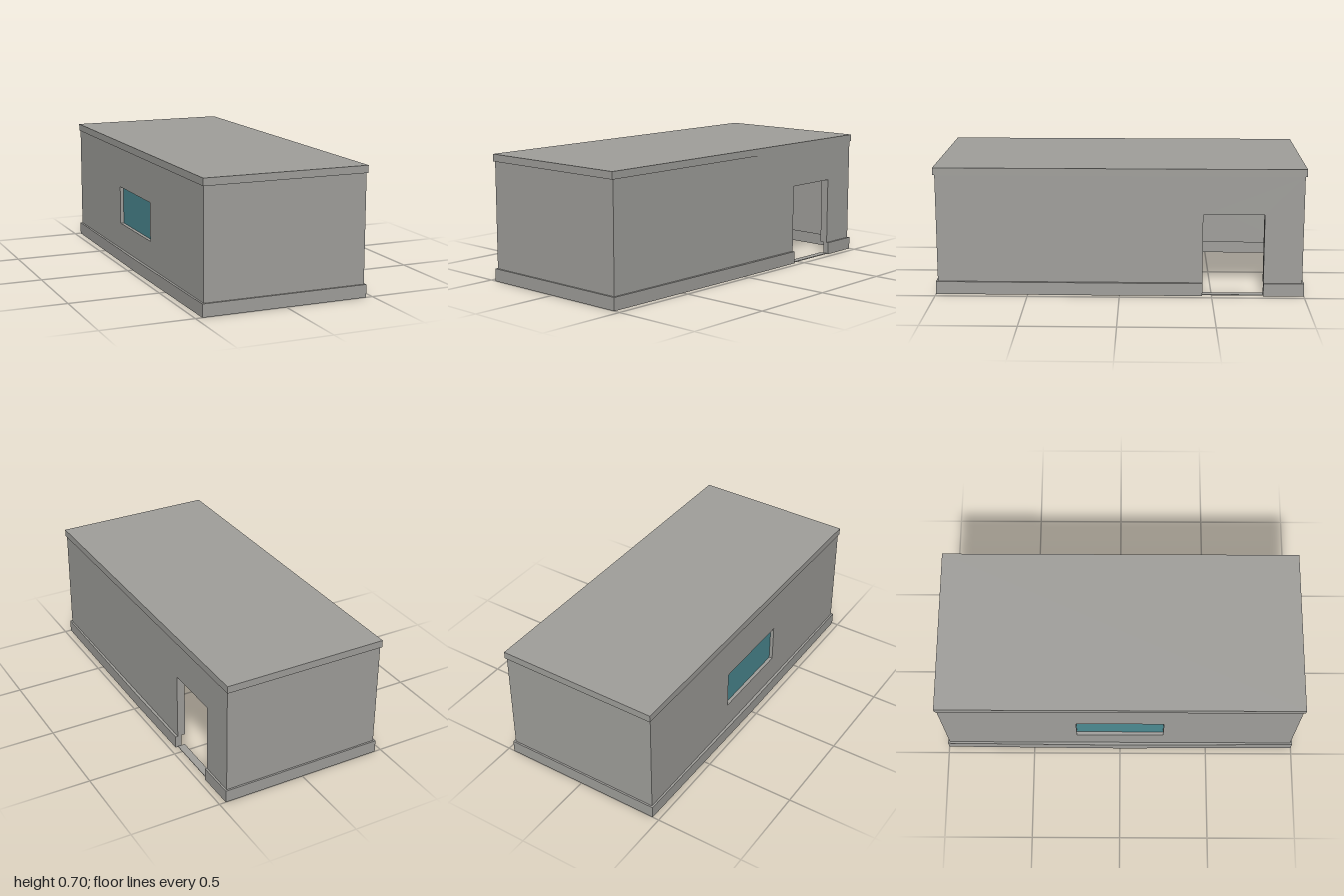
import * as THREE from 'three';

const WALL_X = 0.453, WALL_Z = 0.99, T = 0.045;   // outer wall faces and thickness
const BASE_H = 0.07, EAVE = 0.66, TOP = 0.7;
const DOOR = { z0: -0.78, z1: -0.45, top: 0.45 };
const WIN = { z0: -0.245, z1: 0.245, y0: 0.22, y1: 0.435 };

const polygon = (pts) => new THREE.Shape(pts.map(([x, y]) => new THREE.Vector2(x, y)));
const rect = (a, b, c, d) => polygon([[a, b], [c, b], [c, d], [a, d]]);

// Extrude a (z, y) outline inward from x = outerX towards -x
function sidePanel(shape, outerX) {
  return new THREE.ExtrudeGeometry(shape, { depth: T, bevelEnabled: false })
    .rotateY(-Math.PI / 2).translate(outerX, 0, 0);
}

// Extrude an (x, z) plan between two heights
function planSolid(shape, y0, y1) {
  return new THREE.ExtrudeGeometry(shape, { depth: y1 - y0, bevelEnabled: false })
    .rotateX(Math.PI / 2).translate(0, y1, 0);
}

export function createModel() {
  const group = new THREE.Group();
  const concrete = new THREE.MeshStandardMaterial({ color: 0xa09f9b });
  concrete.name = 'concrete';
  const glass = new THREE.MeshStandardMaterial({ color: 0x4c8a92 });
  glass.name = 'teal glass';

  const add = (name, geometry, material = concrete) => {
    const mesh = new THREE.Mesh(geometry, material);
    mesh.name = name;
    group.add(mesh);
    return mesh;
  };
  const box = (name, w, h, d, x, y, z, material) =>
    add(name, new THREE.BoxGeometry(w, h, d).translate(x, y, z), material);

  // Long wall with the doorway
  add('doorWall', sidePanel(polygon([
    [-WALL_Z, BASE_H], [DOOR.z0, BASE_H], [DOOR.z0, DOOR.top], [DOOR.z1, DOOR.top],
    [DOOR.z1, BASE_H], [WALL_Z, BASE_H], [WALL_Z, EAVE], [-WALL_Z, EAVE],
  ]), WALL_X));

  // Long wall with the window opening
  const windowWall = rect(-WALL_Z, BASE_H, WALL_Z, EAVE);
  windowWall.holes.push(rect(WIN.z0, WIN.y0, WIN.z1, WIN.y1));
  add('windowWall', sidePanel(windowWall, -WALL_X + T));

  // Glass set in the middle of the wall
  box('windowPane', 0.006, WIN.y1 - WIN.y0, WIN.z1 - WIN.z0,
    -WALL_X + T / 2, (WIN.y0 + WIN.y1) / 2, 0, glass);

  // Plain end walls
  for (const [name, s] of [['frontWall', 1], ['backWall', -1]]) {
    box(name, 2 * (WALL_X - T), EAVE - BASE_H, T, 0, (EAVE + BASE_H) / 2, s * (WALL_Z - T / 2));
  }

  // Plinth ring, slightly bowed along the sides and open at the door
  const ix = 0.43, iz = 0.97;
  add('plinth', planSolid(polygon([
    [0.467, DOOR.z1], [0.47, 0], [0.463, 1], [-0.463, 1], [-0.47, 0], [-0.463, -1],
    [0.463, -1], [0.4645, DOOR.z0], [ix, DOOR.z0], [ix, -iz], [-ix, -iz],
    [-ix, iz], [ix, iz], [ix, DOOR.z1],
  ]), 0, BASE_H));

  // Thin door threshold at ground level
  box('threshold', 0.042, 0.004, DOOR.z1 - DOOR.z0, WALL_X - 0.021, 0.002, (DOOR.z0 + DOOR.z1) / 2);

  // Roof: slab with a shallow rim that shows inside as a ceiling lip
  const rim = rect(-0.458, -1, 0.458, 1);
  rim.holes.push(rect(-0.396, -0.933, 0.396, 0.933));
  add('roofRim', planSolid(rim, EAVE, 0.685));
  box('roofSlab', 0.916, TOP - 0.685, 2, 0, (TOP + 0.685) / 2, 0);

  return group;
}
